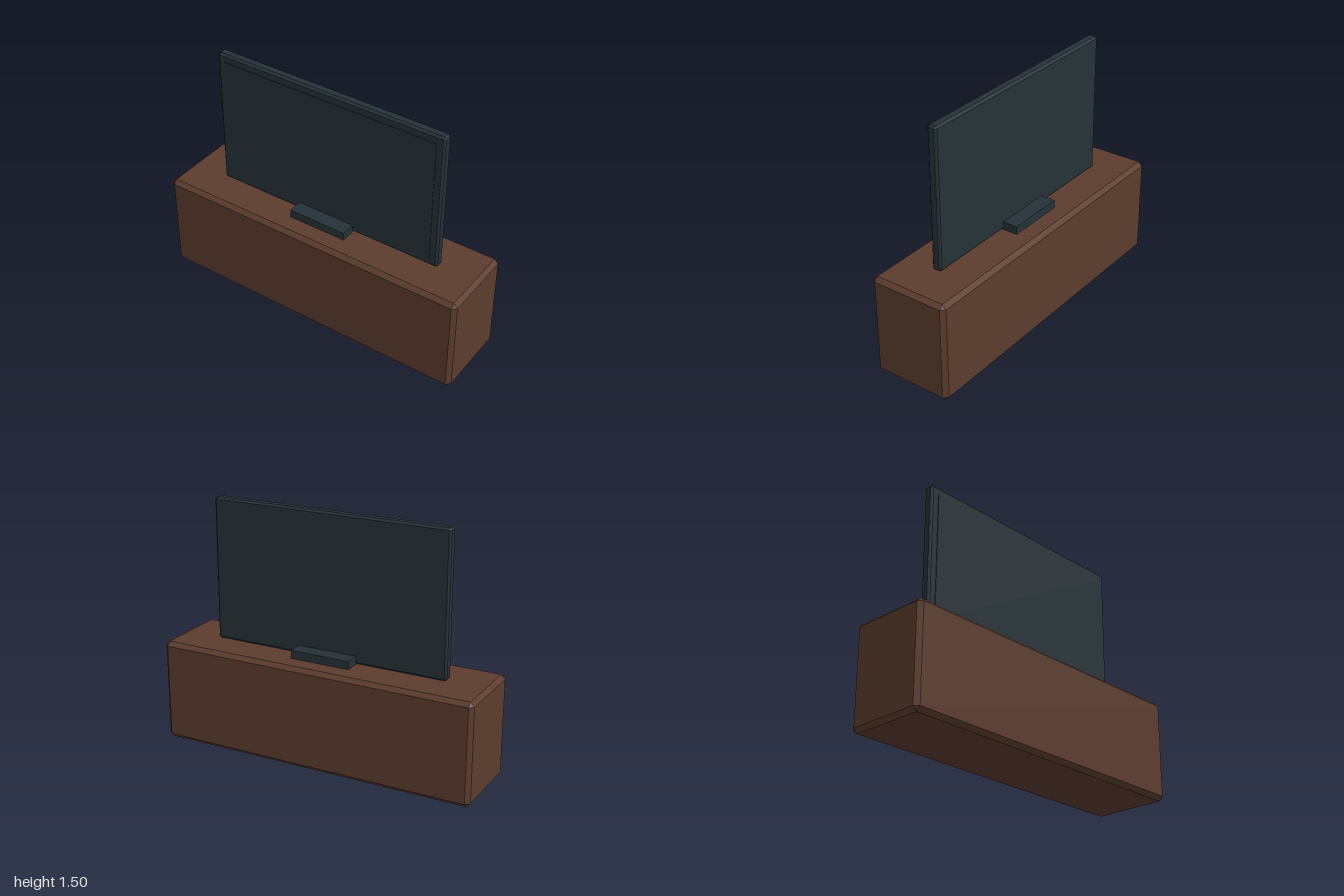
import * as THREE from 'three';
import { ConvexGeometry } from 'three/addons/geometries/ConvexGeometry.js';

// Box with every edge cut by a single flat bevel
function bevelBox(w, h, d, b) {
  const half = [w / 2, h / 2, d / 2];
  const points = [];
  for (const sx of [-1, 1]) for (const sy of [-1, 1]) for (const sz of [-1, 1]) {
    for (let axis = 0; axis < 3; axis++) {
      const p = half.map((v, i) => (i === axis ? v : v - b));
      points.push(new THREE.Vector3(p[0] * sx, p[1] * sy, p[2] * sz));
    }
  }
  return new ConvexGeometry(points);
}

export function createModel() {
  const group = new THREE.Group();
  group.name = 'televisionOnCabinet';

  const wood = new THREE.MeshStandardMaterial({ color: 0x5c3d2e });
  wood.name = 'brown wood';
  const plastic = new THREE.MeshStandardMaterial({ color: 0x263238 });
  plastic.name = 'dark slate plastic';

  const add = (name, geometry, material, y, z = 0) => {
    const mesh = new THREE.Mesh(geometry, material);
    mesh.name = name;
    mesh.position.set(0, y, z);
    group.add(mesh);
  };

  // Low cabinet
  add('cabinet', bevelBox(2, 0.625, 0.5, 0.025), wood, 0.3125);
  // Foot resting on the cabinet
  add('stand', new THREE.BoxGeometry(0.375, 0.05, 0.25), plastic, 0.65);
  // Television casing
  add('televisionCasing', bevelBox(1.5, 0.875, 0.0625, 0.0125), plastic, 1.0625);
  // Thin raised screen panel on the front
  add('screen', new THREE.BoxGeometry(1.4, 0.775, 0.008), plastic, 1.0625, 0.031);

  return group;
}
